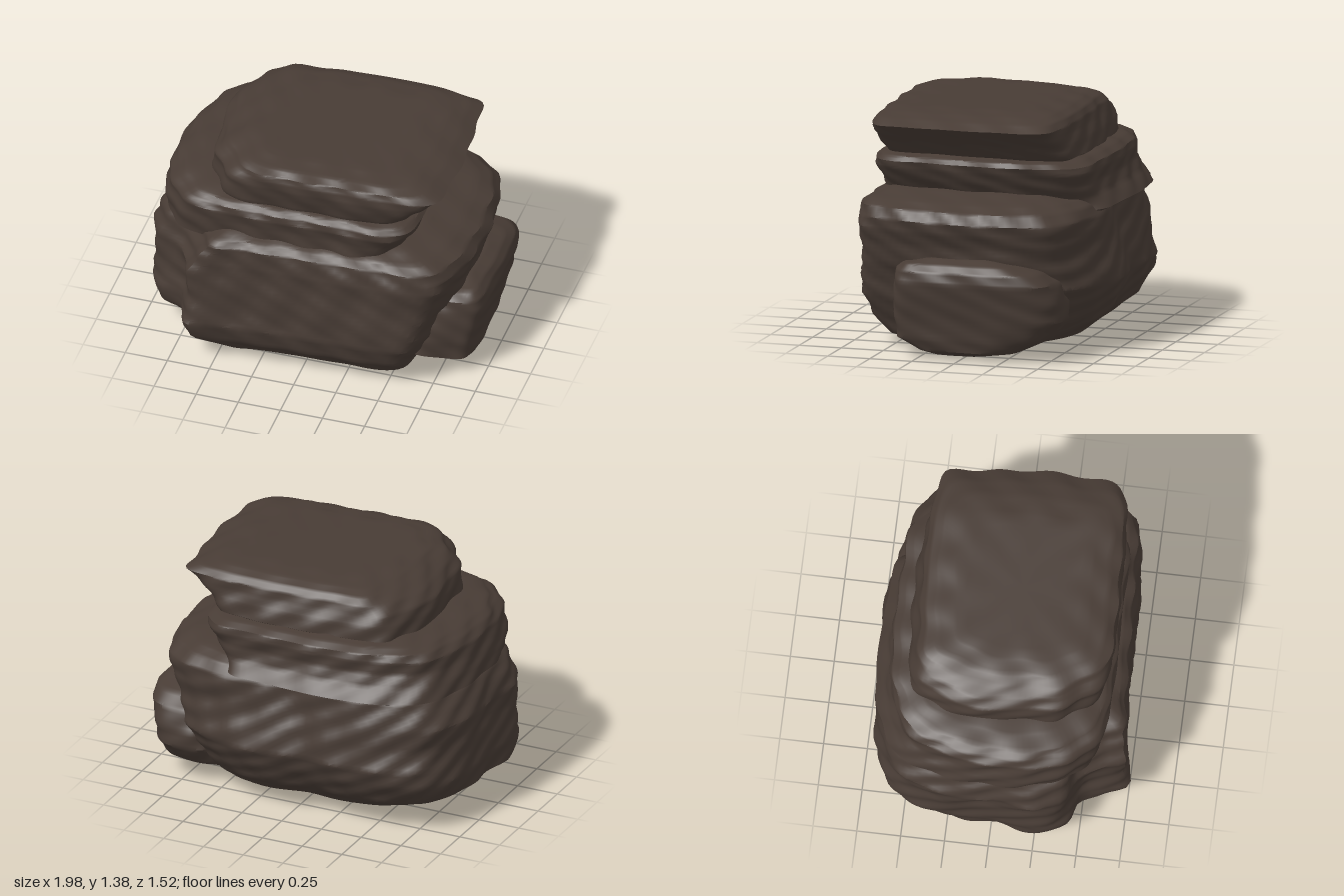
import * as THREE from 'three';
import { toCreasedNormals } from 'three/addons/utils/BufferGeometryUtils.js';

const SIDES = 128;

// Smooth, repeatable roughness: broad dents, thin strata and ragged chips
function rough(x, y, z, s) {
  const dents = Math.sin(5 * x + 3 * y + s) * Math.sin(6 * z - 4 * y + 2 * s);
  const strata = Math.sin(19 * y + 3 * x + 2 * Math.sin(4 * z + s));
  const chips = Math.sin(23 * x + 17 * y + s) * Math.sin(21 * z - 29 * y + 2 * s);
  return 0.45 * dents + 0.25 * strata + 0.5 * chips;
}

// A stone lofted from one plan outline (unit bounds) through levels [y, x0, x1, z0, z1]
function stone(name, outline, levels, seed, amount, material) {
  const plan = new THREE.CatmullRomCurve3(outline.map(([x, z]) => new THREE.Vector3(x, 0, z)), true).getSpacedPoints(SIDES);
  const rings = [];
  const last = levels.length - 1;
  const addRing = (level, scale) => rings.push({ level, scale });
  [0, 0.35, 0.7].forEach((s) => addRing(levels[0], s));
  for (let i = 0; i < last; i++) {
    for (let k = 0; k < 5; k++) {
      addRing(levels[i].map((v, n) => THREE.MathUtils.lerp(v, levels[i + 1][n], k / 5)), 1);
    }
  }
  [1, 0.85, 0.6, 0.3, 0].forEach((s) => addRing(levels[last], s));

  const positions = [];
  const index = [];
  for (const { level: [y, x0, x1, z0, z1], scale } of rings) {
    for (let i = 0; i < SIDES; i++) {
      const px = plan[i].x * scale;
      const pz = plan[i].z * scale;
      const x = (x0 + x1) / 2 + px * (x1 - x0) / 2;
      const z = (z0 + z1) / 2 + pz * (z1 - z0) / 2;
      const d = amount * rough(x, y, z, seed);
      positions.push(x + d * px, y + 0.3 * d * scale, z + d * pz);
    }
  }
  for (let r = 0; r < rings.length - 1; r++) {
    for (let i = 0; i < SIDES; i++) {
      const next = (i + 1) % SIDES;
      const a = r * SIDES + i, b = r * SIDES + next;
      const c = a + SIDES, d = b + SIDES;
      index.push(a, c, b, b, c, d);
    }
  }
  const geometry = new THREE.BufferGeometry();
  geometry.setAttribute('position', new THREE.Float32BufferAttribute(positions, 3));
  geometry.setIndex(index);
  const mesh = new THREE.Mesh(toCreasedNormals(geometry, 0.7), material);
  mesh.name = name;
  return mesh;
}

export function createModel() {
  const group = new THREE.Group();
  group.name = 'stackedRocks';
  const rock = new THREE.MeshStandardMaterial({ color: 0x483c35 });
  rock.name = 'dark brown rock';

  // Big base boulder, with a step at its front right corner
  group.add(stone('baseBoulder', [
    [1, 0], [0.98, 0.3], [0.94, 0.6], [0.84, 0.86], [0.4, 0.92], [0, 0.94], [-0.4, 0.97], [-0.61, 1],
    [-0.67, 0.82], [-0.74, 0.66], [-0.93, 0.55], [-1, 0.35], [-0.97, 0], [-0.95, -0.4], [-0.82, -0.78],
    [-0.62, -0.91], [-0.3, -0.97], [0, -0.94], [0.3, -1], [0.62, -0.93], [0.87, -0.75], [0.98, -0.4],
  ], [
    [0.01, -0.1, 0.45, -0.1, 0.28],
    [0.03, -0.45, 0.56, -0.32, 0.46],
    [0.07, -0.7, 0.64, -0.5, 0.6],
    [0.17, -0.94, 0.69, -0.63, 0.7],
    [0.3, -0.98, 0.75, -0.71, 0.75],
    [0.4, -0.97, 0.79, -0.75, 0.745],
    [0.52, -0.96, 0.85, -0.72, 0.74],
    [0.64, -0.99, 0.88, -0.7, 0.74],
    [0.73, -0.95, 0.92, -0.69, 0.74],
    [0.79, -0.91, 0.93, -0.68, 0.73],
    [0.85, -0.84, 0.89, -0.64, 0.72],
    [0.885, -0.78, 0.8, -0.59, 0.68],
    [0.92, -0.64, 0.6, -0.45, 0.57],
  ], 1.3, 0.022, rock));

  // Small stone leaning on the left side
  group.add(stone('sideStone', [
    [1, 0], [1, 0.55], [0.93, 0.88], [0.5, 1], [-0.6, 0.97], [-1, 0.5],
    [-1, -0.5], [-0.6, -0.95], [0.3, -1], [0.8, -0.85], [0.98, -0.5],
  ], [
    [0.02, 0.45, 0.84, -0.15, 0.17],
    [0.05, 0.45, 0.9, -0.32, 0.26],
    [0.12, 0.47, 0.925, -0.47, 0.4],
    [0.24, 0.5, 0.945, -0.57, 0.41],
    [0.34, 0.52, 0.965, -0.575, 0.4],
    [0.46, 0.55, 0.995, -0.53, 0.39],
    [0.52, 0.57, 0.985, -0.45, 0.38],
    [0.56, 0.6, 0.95, -0.33, 0.34],
    [0.585, 0.65, 0.88, -0.16, 0.19],
  ], 4.1, 0.014, rock));

  // Middle slab, shifted to the right
  group.add(stone('middleSlab', [
    [1, 0], [0.98, 0.45], [0.97, 0.8], [0.85, 0.96], [0.3, 0.97], [-0.3, 0.98], [-0.68, 0.94],
    [-0.86, 0.74], [-0.97, 0.4], [-0.99, 0], [-0.95, -0.4], [-0.83, -0.74], [-0.55, -0.92],
    [-0.1, -1], [0.4, -0.98], [0.82, -0.92], [0.96, -0.6],
  ], [
    [0.78, -0.86, 0.46, -0.64, 0.56],
    [0.82, -0.93, 0.5, -0.72, 0.61],
    [0.9, -0.93, 0.55, -0.66, 0.62],
    [0.97, -0.91, 0.6, -0.64, 0.63],
    [1.04, -0.9, 0.64, -0.65, 0.65],
    [1.08, -0.86, 0.655, -0.64, 0.64],
    [1.105, -0.81, 0.63, -0.59, 0.61],
    [1.125, -0.7, 0.53, -0.5, 0.52],
  ], 2.2, 0.02, rock));

  // Flat top slab, overhanging to the left
  group.add(stone('topSlab', [
    [1, 0.1], [0.99, 0.5], [0.95, 0.88], [0.7, 0.96], [0.2, 0.98], [-0.3, 1], [-0.67, 0.96],
    [-0.82, 0.72], [-0.94, 0.5], [-0.96, 0.15], [-1, -0.25], [-0.92, -0.62], [-0.78, -0.9], [-0.4, -0.97],
    [0.1, -1], [0.6, -0.98], [0.9, -0.9], [0.98, -0.4],
  ], [
    [1.07, -0.58, 0.5, -0.47, 0.56],
    [1.12, -0.65, 0.57, -0.55, 0.59],
    [1.2, -0.65, 0.65, -0.54, 0.61],
    [1.26, -0.64, 0.73, -0.52, 0.62],
    [1.31, -0.59, 0.8, -0.51, 0.62],
    [1.345, -0.52, 0.72, -0.48, 0.61],
    [1.368, -0.46, 0.63, -0.42, 0.56],
    [1.382, -0.36, 0.5, -0.3, 0.45],
  ], 5.7, 0.018, rock));

  return group;
}
